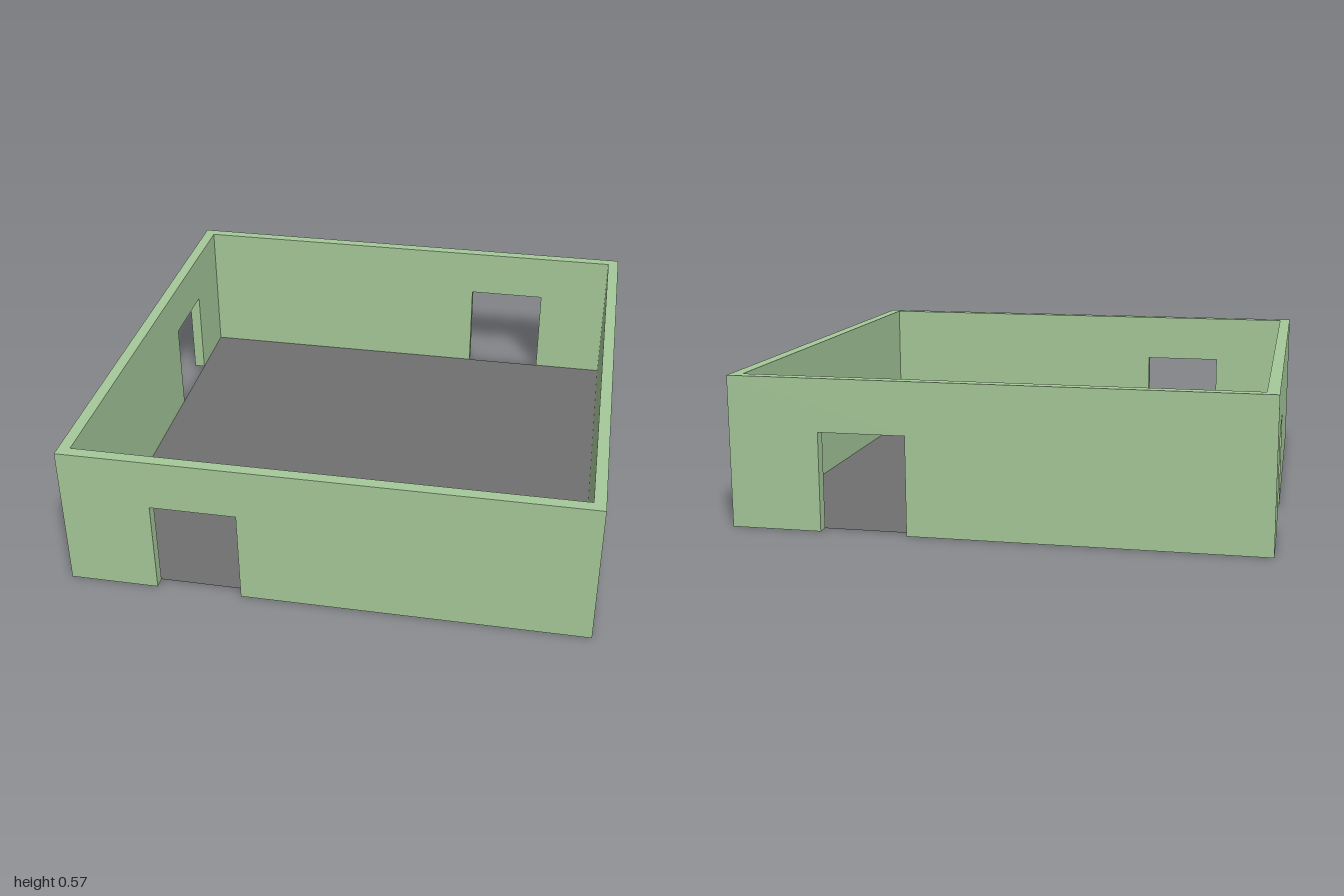
import * as THREE from 'three';

const HALF = 1, HEIGHT = 0.575, THICK = 0.045;
const DOOR = { from: -0.655, to: -0.325, height: 0.375 };

// One wall with mitred ends, facing +z, with an optional doorway cut from its foot
function wallGeometry(hasDoor) {
  const shape = new THREE.Shape();
  shape.moveTo(-HALF, 0);
  if (hasDoor) {
    shape.lineTo(DOOR.from, 0);
    shape.lineTo(DOOR.from, DOOR.height);
    shape.lineTo(DOOR.to, DOOR.height);
    shape.lineTo(DOOR.to, 0);
  }
  shape.lineTo(HALF, 0);
  shape.lineTo(HALF, HEIGHT);
  shape.lineTo(-HALF, HEIGHT);
  shape.closePath();

  const geometry = new THREE.ExtrudeGeometry(shape, { depth: THICK, bevelEnabled: false });
  geometry.translate(0, 0, HALF - THICK);

  // Pull the inner end corners in so neighbouring walls meet on the diagonal
  const pos = geometry.attributes.position;
  for (let i = 0; i < pos.count; i++) {
    const x = pos.getX(i);
    if (Math.abs(x) > HALF - 1e-4 && pos.getZ(i) < HALF - THICK / 2) {
      pos.setX(i, Math.sign(x) * (HALF - THICK));
    }
  }
  geometry.computeVertexNormals();
  return geometry;
}

export function createModel() {
  const model = new THREE.Group();
  model.name = 'room';

  const wallMaterial = new THREE.MeshStandardMaterial({ color: 0xa6c99a });
  const floorMaterial = new THREE.MeshStandardMaterial({ color: 0x707070, side: THREE.DoubleSide });

  // Walls: three with a doorway, the right one solid
  const walls = [
    ['frontWall', 0, true],
    ['rightWall', Math.PI / 2, false],
    ['backWall', Math.PI, true],
    ['leftWall', -Math.PI / 2, true],
  ];
  for (const [name, angle, hasDoor] of walls) {
    const wall = new THREE.Mesh(wallGeometry(hasDoor), wallMaterial);
    wall.name = name;
    wall.rotation.y = angle;
    model.add(wall);
  }

  // Floor sheet between the walls
  const size = 2 * (HALF - THICK);
  const floor = new THREE.Mesh(new THREE.PlaneGeometry(size, size), floorMaterial);
  floor.name = 'floor';
  floor.rotation.x = -Math.PI / 2;
  model.add(floor);

  return model;
}
